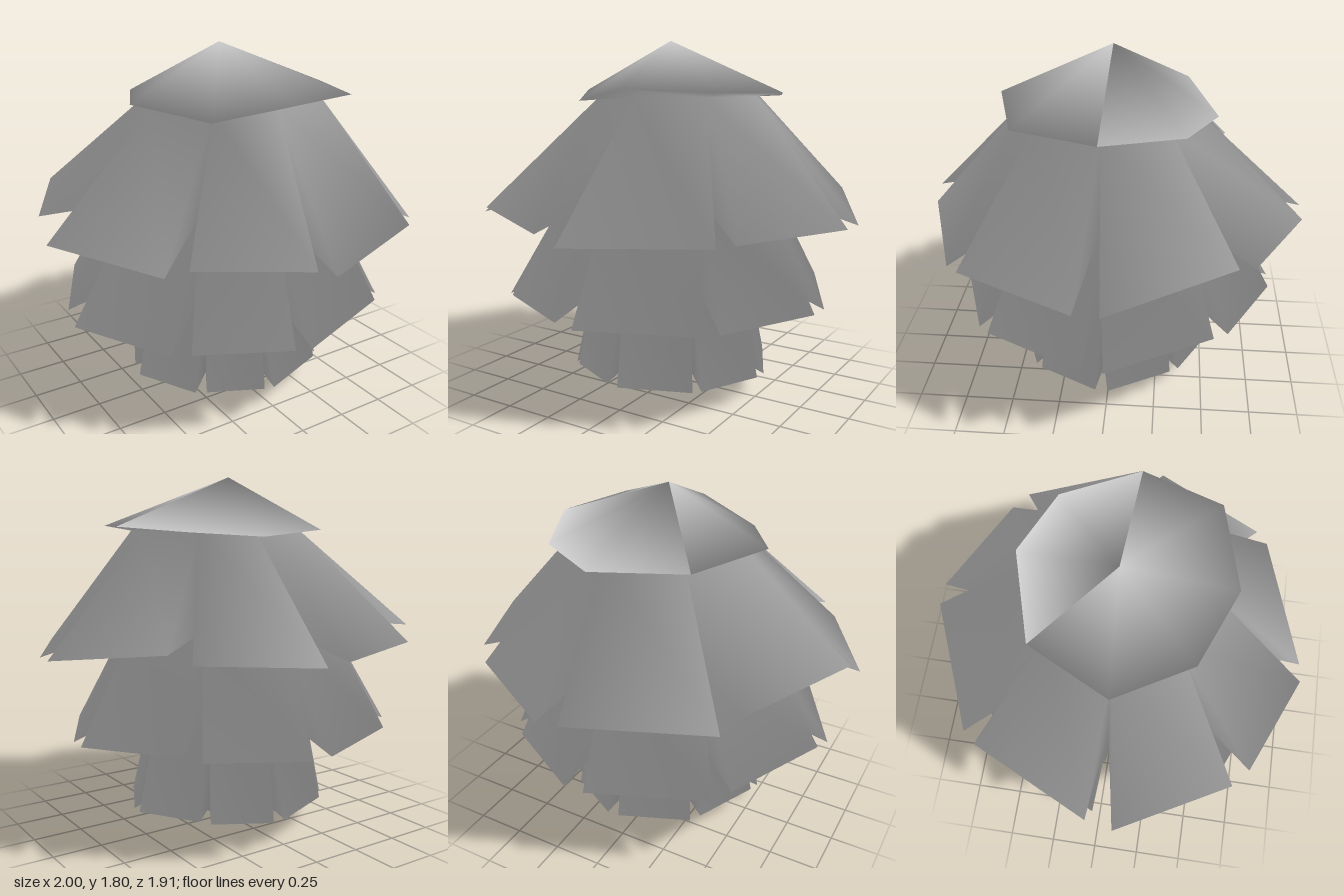
import * as THREE from 'three';

// Eight points [x, y, z] around the cap rim, starting at +x and turning toward +z
const RIM = [
  [0.62, 1.555, 0.02], [0.49, 1.56, 0.42], [0.06, 1.575, 0.54], [-0.3, 1.51, 0.39],
  [-0.52, 1.555, 0.03], [-0.32, 1.54, -0.37], [0.14, 1.51, -0.51], [0.45, 1.53, -0.36],
];

// Scale corners on both sides of each of the eight notches: [x, y offset, z]
const NOTCHES = [
  [[1.0, 0.0, -0.02], [0.99, 0.0, 0.1]],
  [[0.71, 0.0, 0.66], [0.65, -0.01, 0.72]],
  [[-0.01, -0.04, 0.95], [-0.12, 0.01, 0.95]],
  [[-0.62, 0.05, 0.73], [-0.7, 0.01, 0.66]],
  [[-1.0, 0.035, 0.11], [-0.98, 0.13, -0.02]],
  [[-0.7, 0.11, -0.61], [-0.63, 0.035, -0.69]],
  [[0.02, 0.035, -0.96], [0.14, 0.02, -0.96]],
  [[0.64, 0.04, -0.69], [0.71, 0.08, -0.61]],
];

// Every ring has 24 slots, three per notch; repeated points collapse
const triple = (list) => list.flatMap((p) => [p, p, p]);
const pointRing = (x, y, z) => Array(24).fill([x, y, z]);
const key = (p) => p.map((v) => v.toFixed(4)).join();

// Eight-sided waist lined up with the notches
function waist(radius, y) {
  return triple(NOTCHES.map(([a, b]) => {
    const x = a[0] + b[0], z = a[2] + b[2], k = radius / Math.hypot(x, z);
    return [x * k, y, z * k];
  }));
}

// Star-shaped lower edge: corner, notch folded in to the waist below, corner
function jaggedEdge(scale, y, wobble, shiftX, inner) {
  return NOTCHES.flatMap(([a, b], i) => {
    const corner = (p) => [p[0] * scale + shiftX, y + p[1] * wobble, p[2] * scale];
    return [corner(a), inner[3 * i], corner(b)];
  });
}

// Triangles between two rings; flip picks the other diagonal
function band(upper, lower, flip) {
  const tris = [];
  for (let j = 0; j < 24; j++) {
    const k = (j + 1) % 24;
    const u0 = upper[j], u1 = upper[k], l0 = lower[j], l1 = lower[k];
    const pair = flip ? [[l0, u0, l1], [u0, u1, l1]] : [[l0, u0, u1], [l0, u1, l1]];
    tris.push(...pair.filter((t) => new Set(t.map(key)).size === 3));
  }
  return tris;
}

// Sum of unit face normals at every point, so shading flows across all parts
function sharedNormals(tris) {
  const sums = new Map();
  for (const t of tris) {
    const [a, b, c] = t.map((p) => new THREE.Vector3(...p));
    const n = new THREE.Triangle(a, b, c).getNormal(new THREE.Vector3());
    for (const p of t) {
      if (!sums.has(key(p))) sums.set(key(p), new THREE.Vector3());
      sums.get(key(p)).add(n);
    }
  }
  sums.forEach((n) => n.normalize());
  return sums;
}

export function createModel() {
  const group = new THREE.Group();
  group.name = 'scaledCone';

  // Waists where one tier tucks into the next
  const top = triple(RIM.map(([x, , z]) => [x * 0.78, 1.535, z * 0.78]));
  const upperWaist = waist(0.53, 1.08);
  const lowerWaist = waist(0.4, 0.69);
  const base = waist(0.41, 0.19);

  // Outer edges
  const rim = triple(RIM);
  const upperEdge = jaggedEdge(1, 0.95, 1, 0, upperWaist);
  const middleEdge = jaggedEdge(0.87, 0.52, 0.4, -0.02, lowerWaist);
  const lowerEdge = jaggedEdge(0.54, 0.13, 0.2, 0, base);

  const parts = {
    cap: [...band(pointRing(-0.01, 1.805, 0), rim), ...band(rim, top)],
    upperScales: [...band(top, upperEdge), ...band(upperEdge, upperWaist, true)],
    middleScales: [...band(upperWaist, middleEdge), ...band(middleEdge, lowerWaist, true)],
    lowerScales: [...band(lowerWaist, lowerEdge), ...band(lowerEdge, base, true)],
    basePoint: band(base, pointRing(0.03, 0, -0.01)),
  };

  const normals = sharedNormals(Object.values(parts).flat());
  const material = new THREE.MeshStandardMaterial({ color: 0xcccccc });
  for (const [name, tris] of Object.entries(parts)) {
    const points = tris.flat();
    const geometry = new THREE.BufferGeometry();
    geometry.setAttribute('position', new THREE.Float32BufferAttribute(points.flat(), 3));
    geometry.setAttribute('normal', new THREE.Float32BufferAttribute(
      points.flatMap((p) => normals.get(key(p)).toArray()), 3));
    const mesh = new THREE.Mesh(geometry, material);
    mesh.name = name;
    group.add(mesh);
  }
  return group;
}
